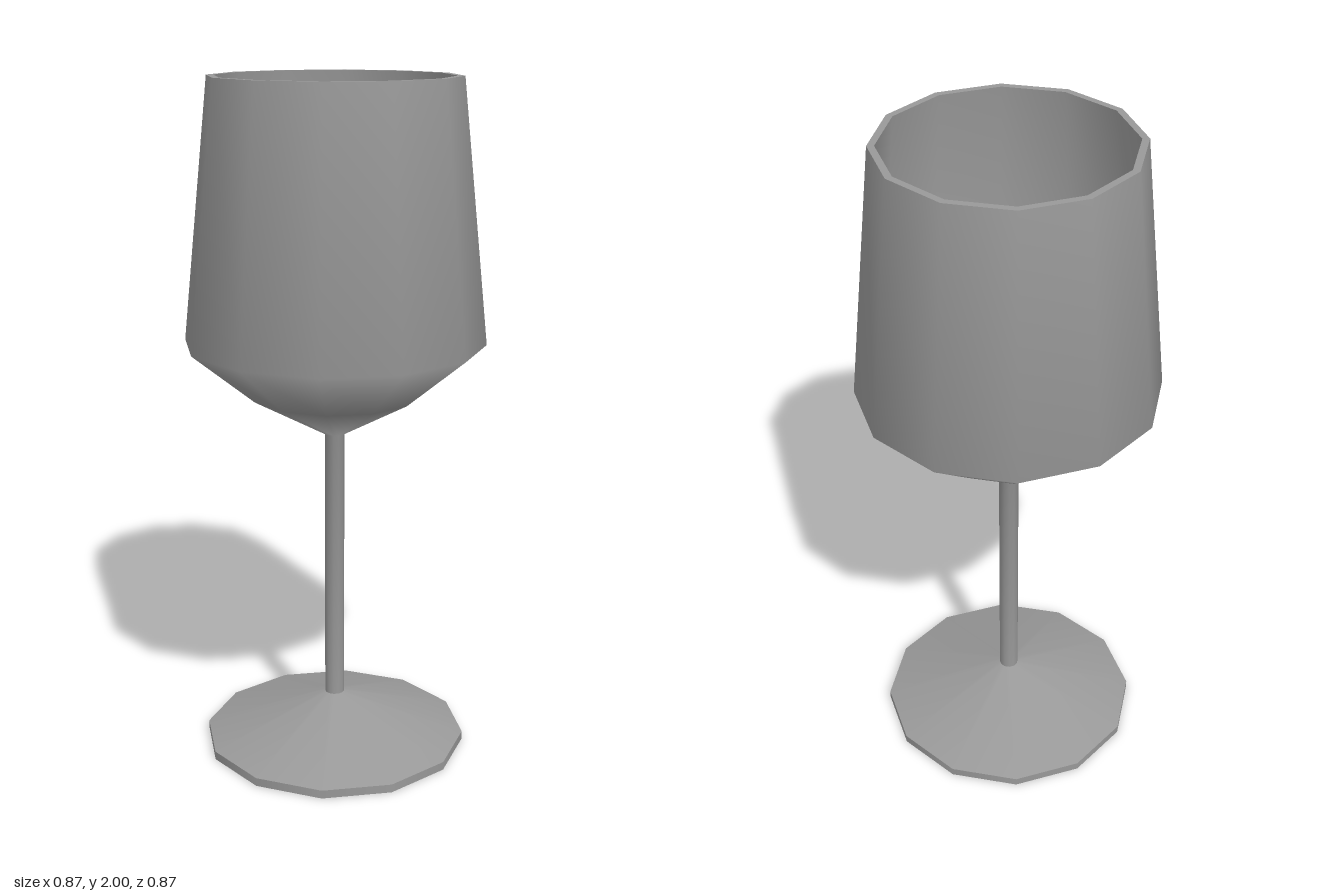
import * as THREE from 'three';

export function createModel() {
  const group = new THREE.Group();
  const grey = new THREE.MeshStandardMaterial({ color: 0x999999 });
  grey.name = 'grey';

  // Twelve-sided smooth ring of a profile; edges between separate parts stay sharp
  const turn = (name, profile) => {
    const points = profile.map(([r, y]) => new THREE.Vector2(r, y));
    const mesh = new THREE.Mesh(new THREE.LatheGeometry(points, 12), grey);
    mesh.name = name;
    group.add(mesh);
  };

  // Foot: flat underside, thin edge, shallow cone
  turn('footUnderside', [[0, 0], [0.395, 0]]);
  turn('footEdge', [[0.395, 0], [0.395, 0.025]]);
  turn('footTop', [[0.395, 0.025], [0.029, 0.148]]);

  // Stem flowing into the outer bowl
  turn('stemAndOuterBowl', [
    [0.029, 0.148], [0.029, 0.975], [0.25, 1.097], [0.437, 1.25], [0.358, 2],
  ]);

  // Rim and hollow inside
  turn('rim', [[0.358, 2], [0.338, 2]]);
  turn('innerBowl', [[0.338, 2], [0.415, 1.26], [0.24, 1.117], [0, 0.99]]);

  return group;
}
